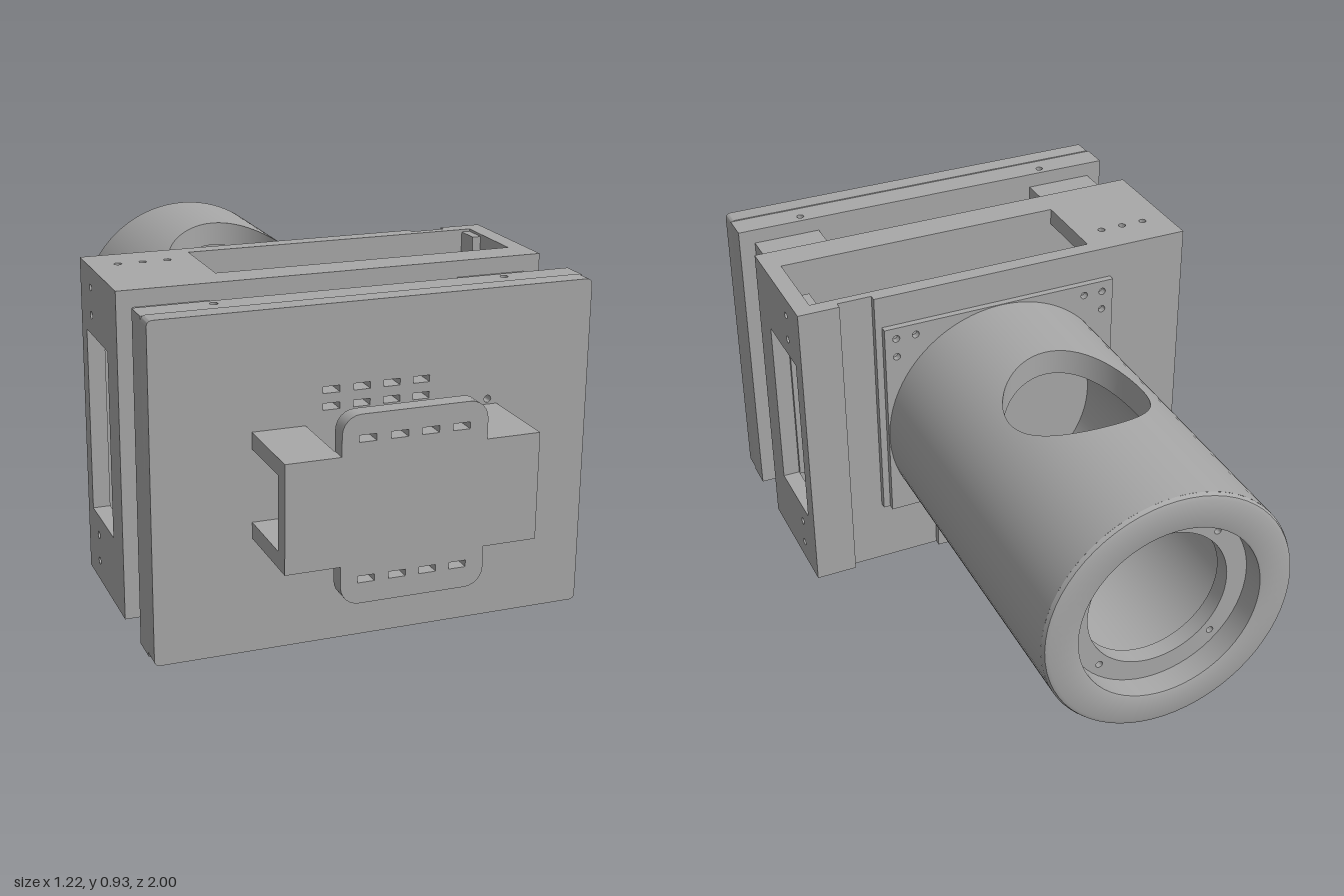
import * as THREE from 'three';
import { toCreasedNormals } from 'three/addons/utils/BufferGeometryUtils.js';
import { ParametricGeometry } from 'three/addons/geometries/ParametricGeometry.js';

const CY = 0.465;      // height of the tube axis
const R = 0.363;       // tube outer radius
const RI = 0.29;       // tube inner radius
const PORT = 0.2;      // radius of the hole in the tube's top
const PORT_Z = -0.44;

// Outlines as point lists
function circle(cx, cy, r, n = 12) {
  return Array.from({ length: n }, (_, i) => {
    const t = (i / n) * Math.PI * 2;
    return [cx + r * Math.cos(t), cy + r * Math.sin(t)];
  });
}

function rect(x0, y0, x1, y1, r = 0) {
  if (!r) return [[x0, y0], [x1, y0], [x1, y1], [x0, y1]];
  const corners = [[x1 - r, y1 - r], [x0 + r, y1 - r], [x0 + r, y0 + r], [x1 - r, y0 + r]];
  return corners.flatMap(([cx, cy], k) => Array.from({ length: 7 }, (_, i) => {
    const t = (k + i / 6) * Math.PI / 2;
    return [cx + r * Math.cos(t), cy + r * Math.sin(t)];
  }));
}

export function createModel() {
  const group = new THREE.Group();
  const grey = new THREE.MeshStandardMaterial({ color: 0xa8a8a8, side: THREE.DoubleSide });
  grey.name = 'grey';

  function add(name, geometry) {
    const mesh = new THREE.Mesh(geometry, grey);
    mesh.name = name;
    group.add(mesh);
    return mesh;
  }

  // Plate drawn in the xy, xz or zy plane, running from one depth to another
  function slab(name, plane, outline, holes, from, to) {
    const sa = plane === 'zy' ? -1 : 1;
    const sb = plane === 'xz' ? -1 : 1;
    const vec = (pts) => pts.map(([a, b]) => new THREE.Vector2(a * sa, b * sb));
    const shape = new THREE.Shape(vec(outline));
    shape.holes = holes.map((h) => new THREE.Path(vec(h)));
    const geo = new THREE.ExtrudeGeometry(shape, { depth: to - from, bevelEnabled: false });
    geo.translate(0, 0, from);
    if (plane === 'xz') geo.rotateX(-Math.PI / 2);
    if (plane === 'zy') geo.rotateY(Math.PI / 2);
    return add(name, toCreasedNormals(geo, 0.6));
  }

  function block(name, x0, x1, y0, y1, z0, z1) {
    const geo = new THREE.BoxGeometry(x1 - x0, y1 - y0, z1 - z0);
    geo.translate((x0 + x1) / 2, (y0 + y1) / 2, (z0 + z1) / 2);
    return add(name, geo);
  }

  const slotX = [-0.127, -0.043, 0.04, 0.123];
  const slots = (y) => slotX.map((x) => rect(x - 0.023, y - 0.009, x + 0.023, y + 0.009));

  // Front plate: slotted face and a rear layer with vertical pin holes
  const faceHoles = [0.655, 0.7, 0.28, 0.235].flatMap(slots);
  faceHoles.push(circle(0.315, 0.625, 0.01), circle(0.315, 0.309, 0.01));
  slab('frontPlateFace', 'xy', rect(-0.61, 0, 0.61, 0.927, 0.015), faceHoles, 0.7, 0.755);
  slab('frontPlateRear', 'xz', rect(-0.61, 0.62, 0.61, 0.7),
    [circle(-0.405, 0.648, 0.011), circle(0.405, 0.648, 0.011)], 0.003, 0.924);

  // Front bracket: cross-shaped face on four arms
  const tab = rect(-0.195, 0.215, 0.195, 0.715, 0.05);
  const bracket = [
    [0.342, 0.32], [0.342, 0.61], [0.195, 0.61], ...tab.slice(0, 14),
    [-0.195, 0.61], [-0.342, 0.61], [-0.342, 0.32], [-0.195, 0.32],
    ...tab.slice(14), [0.195, 0.32],
  ];
  slab('bracketFace', 'xy', bracket, [...slots(0.652), ...slots(0.28)], 0.953, 1);
  for (const [x0, x1] of [[-0.342, -0.197], [0.197, 0.342]]) {
    block('bracketArm', x0, x1, 0.565, 0.61, 0.755, 0.953);
    block('bracketArm', x0, x1, 0.32, 0.365, 0.755, 0.953);
  }

  // Spacer posts between front plate and housing
  for (const [x0, x1] of [[-0.565, -0.358], [0.358, 0.562]]) {
    block('spacerPost', x0, x1, 0.055, 0.2, 0.46, 0.62);
    block('spacerPost', x0, x1, 0.735, 0.88, 0.46, 0.62);
  }

  // Housing: top, bottom, sides, front and back walls
  const lid = rect(-0.61, 0.115, 0.61, 0.46);
  const lidHoles = [rect(-0.31, 0.116, 0.56, 0.365),
    ...[-0.53, -0.46, -0.39].map((x) => circle(x, 0.18, 0.011))];
  slab('housingTop', 'xz', lid, lidHoles, 0.877, 0.927);
  slab('housingBottom', 'xz', lid, lidHoles, 0, 0.05);
  const sideHoles = [rect(0.125, 0.2, 0.355, 0.735),
    ...[0.06, 0.14, 0.79, 0.87].map((y) => circle(0.185, y, 0.011))];
  for (const x of [-0.61, 0.56]) {
    slab('housingSide', 'zy', rect(0.115, 0, 0.46, 0.927), sideHoles, x, x + 0.05);
  }
  block('housingFront', -0.56, 0.56, 0.05, 0.877, 0.365, 0.46);
  block('innerPanel', -0.015, 0.56, 0.2, 0.735, 0.345, 0.365);
  block('innerCorner', 0.535, 0.56, 0.735, 0.92, 0.115, 0.19);
  block('housingBack', -0.61, 0.61, 0, 0.927, 0.09, 0.115);

  // Outer layer of the back wall, with a cable groove and a low notch
  slab('backCover', 'xy',
    [[-0.61, 0], [0.21, 0], [0.21, 0.2], [0.385, 0.2], [0.385, 0.927], [-0.61, 0.927]], [], 0.07, 0.09);
  slab('backCoverEdge', 'xy', rect(0.487, 0, 0.61, 0.927), [], 0.07, 0.09);

  // Square tube flange with corner screw holes
  const screws = [[-1, -1], [-1, 1], [1, 1]].flatMap(([sx, sy]) => [
    circle(sx * 0.33, CY + sy * 0.33, 0.011),
    circle(sx * 0.33, CY + sy * 0.27, 0.011),
    circle(sx * 0.27, CY + sy * 0.33, 0.011)]);
  slab('tubeFlange', 'xy',
    [[-0.365, 0.1], [0.08, 0.1], [0.08, 0.2], [0.365, 0.2], [0.365, 0.83], [-0.365, 0.83]],
    screws, 0.05, 0.07);

  // Tube wall: plain arc plus two patches that meet the round port
  const zBack = -0.985;
  const zFront = 0.06;
  for (const [name, r] of [['tubeOuter', R], ['tubeInner', RI]]) {
    const a = Math.asin(PORT / r);
    const z0 = r === R ? zBack : -0.88;
    add(name, new ParametricGeometry((u, v, p) => {
      const t = a + u * (Math.PI * 2 - 2 * a);
      p.set(r * Math.sin(t), CY + r * Math.cos(t), z0 + v * (zFront - z0));
    }, 64, 1));
    for (const [end, s] of [[z0, -1], [zFront, 1]]) {
      add(name + 'Top', new ParametricGeometry((u, v, p) => {
        const t = (u - 0.5) * Math.PI;
        const x = PORT * Math.sin(t);
        const edge = PORT_Z + s * PORT * Math.cos(t);
        p.set(x, CY + Math.sqrt(r * r - x * x), end + v * (edge - end));
      }, 32, 1));
    }
  }
  add('tubePortWall', new ParametricGeometry((u, v, p) => {
    const t = u * Math.PI * 2;
    const x = PORT * Math.sin(t);
    const r = RI + v * (R - RI);
    p.set(x, CY + Math.sqrt(r * r - x * x), PORT_Z + PORT * Math.cos(t));
  }, 64, 1));

  // Rear rim with rounded edge and recess
  const rim = [[0.265, -0.93], [0.265, -0.998], [0.27, -1], [0.348, -1], [0.358, -0.996], [R, zBack]]
    .map(([r, z]) => new THREE.Vector2(r, z));
  const rimGeo = new THREE.LatheGeometry(rim, 64);
  rimGeo.rotateX(Math.PI / 2);
  add('tubeRim', toCreasedNormals(rimGeo, 0.7)).position.y = CY;

  // Mounting ring inside the rear opening
  const ringScrews = [0, 1, 2, 3].map((i) => {
    const t = Math.PI / 4 + i * Math.PI / 2;
    return circle(0.235 * Math.cos(t), 0.235 * Math.sin(t), 0.01);
  });
  slab('mountingRing', 'xy', circle(0, 0, RI, 64), [circle(0, 0, 0.205, 64), ...ringScrews],
    -0.93, -0.88).position.y = CY;

  return group;
}
